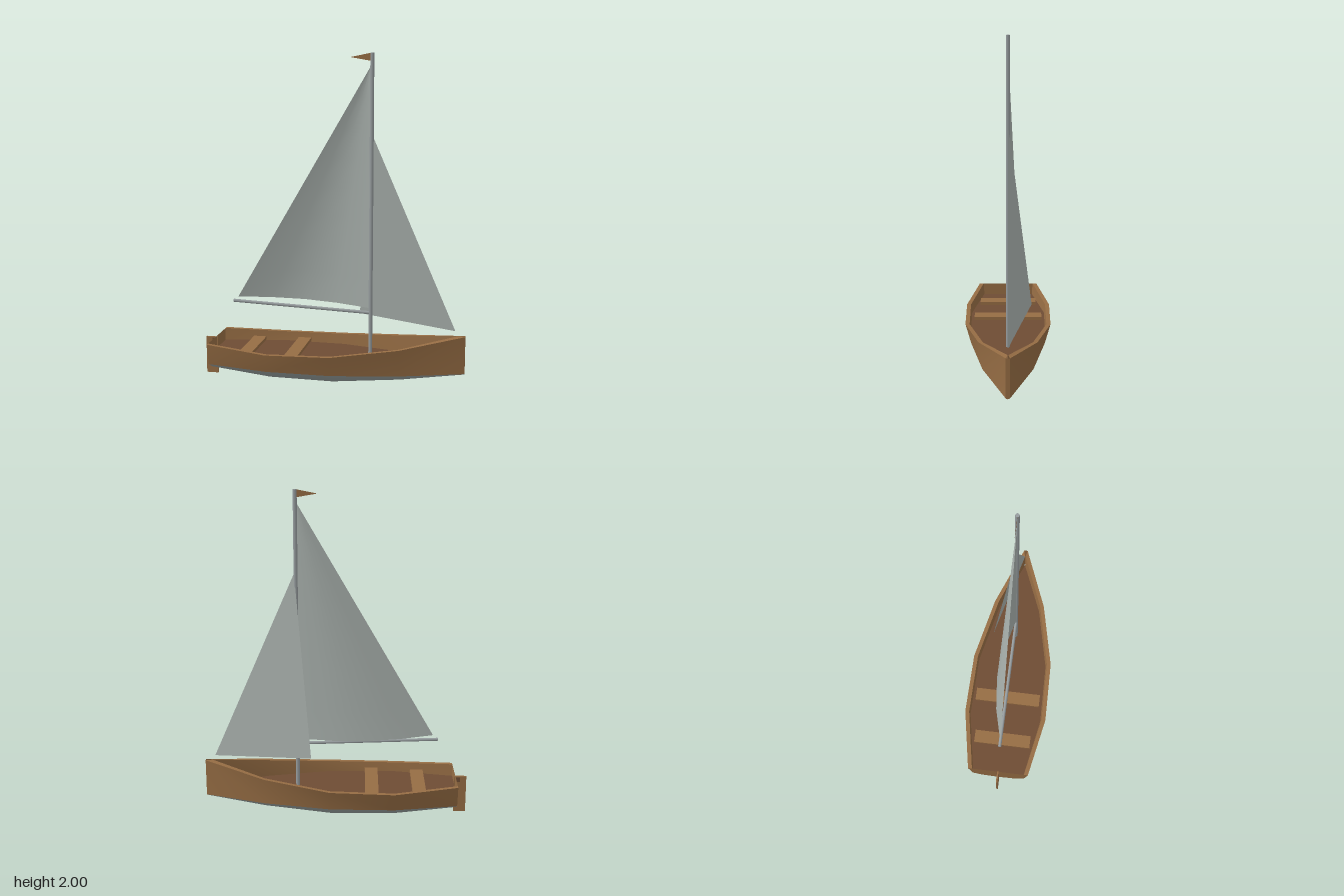
import * as THREE from 'three';

const mat = (name, color) =>
  Object.assign(new THREE.MeshStandardMaterial({ color, side: THREE.DoubleSide }), { name });

// Skin a surface over rows of [x, y, z] points
function loft(rows) {
  const n = rows[0].length, index = [];
  for (let i = 0; i < rows.length - 1; i++)
    for (let j = 0; j < n - 1; j++) {
      const a = i * n + j, b = a + n;
      index.push(a, b, a + 1, b, b + 1, a + 1);
    }
  const g = new THREE.BufferGeometry();
  g.setAttribute('position', new THREE.Float32BufferAttribute(rows.flat(2), 3));
  g.setIndex(index);
  g.computeVertexNormals();
  return g;
}

export function createModel() {
  const group = new THREE.Group();
  const wood = mat('wood', 0x966d44);
  const darkWood = mat('dark wood', 0x6e4c34);
  const canvas = mat('sail grey', 0xa8b0ac);
  const hullGrey = mat('hull grey', 0x98a19f);
  const metal = mat('spar grey', 0x979d9f);

  const add = (name, geometry, material, x = 0, y = 0, z = 0) => {
    const m = new THREE.Mesh(geometry, material);
    m.name = name;
    m.position.set(x, y, z);
    group.add(m);
    return m;
  };

  // Hull stations, stern to bow: x, sheer height, half width, chine height, keel height
  const stations = [
    [-0.745, 0.242, 0.197, 0.11, 0.065],
    [-0.36, 0.222, 0.27, 0.108, 0.03],
    [0.03, 0.23, 0.263, 0.107, 0.025],
    [0.43, 0.27, 0.17, 0.105, 0.055],
    [0.81, 0.33, 0.012, 0.1, 0.095],
  ];
  const floorY = 0.165;
  const inner = ([x, , w]) => (w < 0.05 ? [0.765, 0.002] : [x, w - 0.026]);
  const chine = (w) => (w < 0.05 ? w : w * 0.87);

  for (const s of [1, -1]) {
    const side = s > 0 ? 'left' : 'right';
    add(side + 'Topside', loft(stations.map(([x, y, w, c]) =>
      [[x, y, s * w], [x, c, s * chine(w)]])), wood);
    add(side + 'Gunwale', loft(stations.map((st) => {
      const [ix, iw] = inner(st);
      return [[st[0], st[1], s * st[2]], [ix, st[1], s * iw]];
    })), wood);
    add(side + 'InnerWall', loft(stations.map((st) => {
      const [ix, iw] = inner(st);
      return [[ix, st[1], s * iw], [ix, floorY, s * iw * 0.97]];
    })), wood);
  }

  // Rounded underside from chine to chine
  add('hullBottom', loft(stations.map(([x, , w, c, k]) => {
    const cw = chine(w), b = k + (c - k) * 0.25;
    return [[x, c, cw], [x, b, cw * 0.64], [x, k, 0], [x, b, -cw * 0.64], [x, c, -cw]];
  })), hullGrey);

  // Floor boards
  add('floor', loft(stations.map((st) => {
    const [ix, iw] = inner(st);
    return [[ix, floorY, iw * 0.97], [ix, floorY, -iw * 0.97]];
  })), darkWood);

  // Flat stern and narrow stem close the hull ends
  const endPlate = ([x, y, w, c, k]) => {
    const cw = chine(w), b = k + (c - k) * 0.25;
    return loft([[y, w], [c, cw], [b, cw * 0.64], [k, 0]].map(([h, z]) => [[x, h, z], [x, h, -z]]));
  };
  add('transom', endPlate(stations[0]), wood);
  add('stem', endPlate(stations[4]), wood);

  // Bench seats
  for (const [name, x, len] of [['aftBench', -0.515, 0.37], ['midBench', -0.225, 0.43]])
    add(name, new THREE.BoxGeometry(0.082, 0.02, len), wood, x, 0.188, 0);

  // Rudder with its hinge block
  add('rudder', new THREE.BoxGeometry(0.075, 0.235, 0.01), wood, -0.7775, 0.1175, 0);
  add('rudderHinge', new THREE.BoxGeometry(0.03, 0.03, 0.014), darkWood, -0.76, 0.213, 0);

  // Mast and boom
  add('mast', new THREE.CylinderGeometry(0.012, 0.012, 2 - floorY, 8), metal, 0.235, 1 + floorY / 2, 0);
  const boom = add('boom', new THREE.CylinderGeometry(0.01, 0.01, 0.866, 8), metal, -0.1975, 0.462, 0);
  boom.rotation.z = Math.PI / 2 - 0.038;

  // Mainsail: chord shrinks toward the head and bellies to one side
  const rows = [];
  for (let i = 0; i <= 8; i++) {
    const t = i / 8, w = 1 - t, row = [];
    for (let j = 0; j <= 4; j++) {
      const u = j / 4;
      row.push([0.225 - 0.825 * u * w, (0.475 + 0.03 * u) * w + 1.92 * t,
        -0.074 * w * Math.sin(Math.PI * u)]);
    }
    rows.push(row);
  }
  add('mainsail', loft(rows), canvas);

  // Flat triangular pieces: headsail and pennant
  const triangle = (...p) => {
    const g = new THREE.BufferGeometry();
    g.setAttribute('position', new THREE.Float32BufferAttribute(p.flat(), 3));
    g.computeVertexNormals();
    return g;
  };
  add('headsail', triangle([0.75, 0.36, 0], [0.245, 1.51, 0], [0.145, 0.4, -0.142]), canvas);
  add('pennant', triangle([0.23, 2, 0], [0.105, 1.975, 0], [0.23, 1.953, 0]), wood);

  return group;
}
